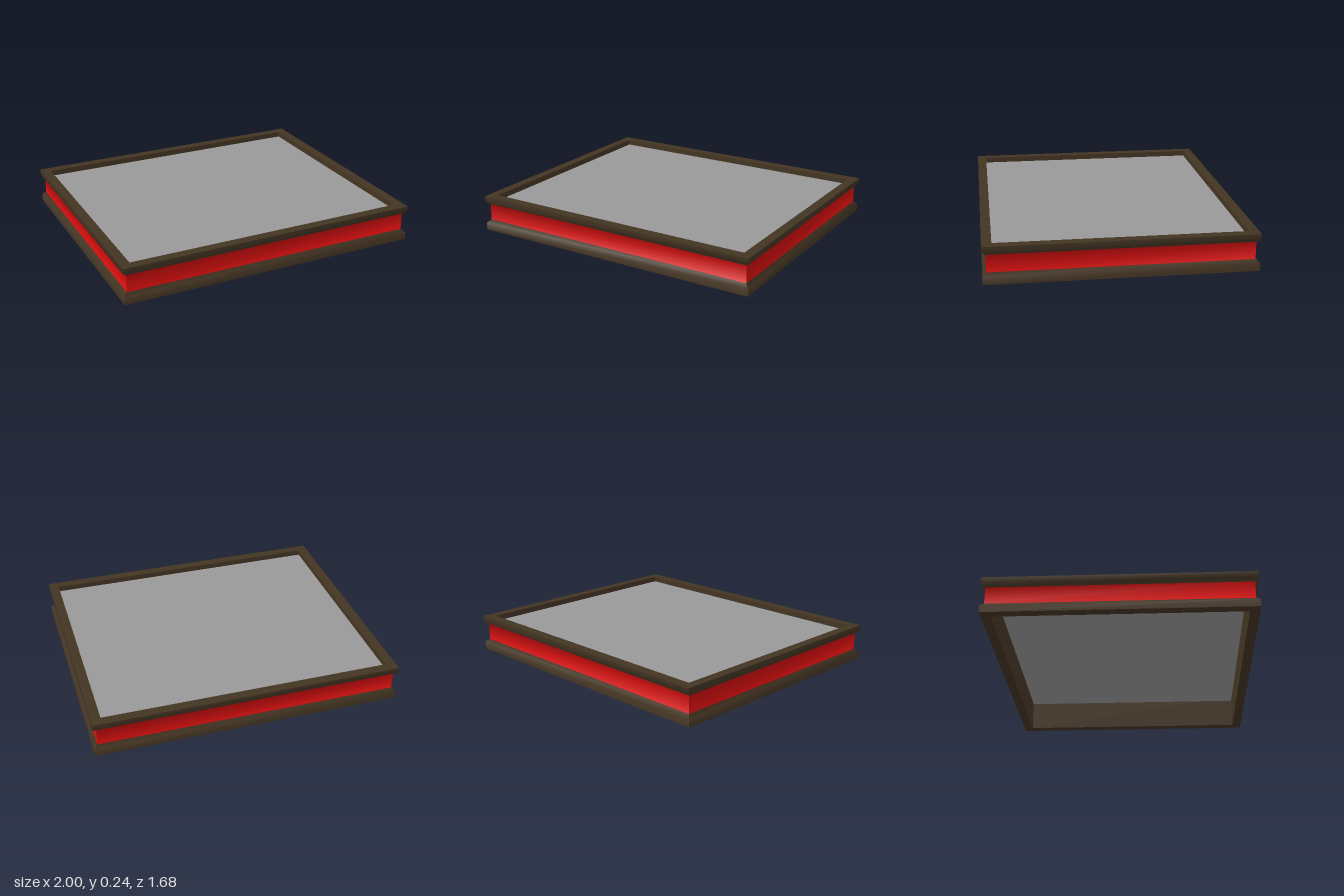
import * as THREE from 'three';
import { toCreasedNormals } from 'three/addons/utils/BufferGeometryUtils.js';

const HALF_X = 1, HALF_Z = 0.842;

// Frame cross-section as [inset from the outside, height], going up the outside and down the inside
const PROFILE = [
  [0, 0], [0, 0.05], [0.024, 0.07], [0.024, 0.182],
  [0, 0.202], [0, 0.24], [0.062, 0.24], [0.062, 0],
];
const RED_SEGMENT = 2;
const CORNERS = [[-1, 1], [1, 1], [1, -1], [-1, -1]];

function material(name, color) {
  const m = new THREE.MeshStandardMaterial({ color });
  m.name = name;
  return m;
}

// One mitred side of the frame, running from one corner to the next
function sideGeometry(side) {
  const point = (corner, [inset, y]) => {
    const [sx, sz] = CORNERS[corner % 4];
    return [sx * (HALF_X - inset), y, sz * (HALF_Z - inset)];
  };
  const positions = [];
  PROFILE.forEach((p, i) => {
    const q = PROFILE[(i + 1) % PROFILE.length];
    const a = point(side, p), b = point(side + 1, p);
    const c = point(side + 1, q), d = point(side, q);
    positions.push(...a, ...b, ...c, ...a, ...c, ...d);
  });
  const flat = new THREE.BufferGeometry();
  flat.setAttribute('position', new THREE.Float32BufferAttribute(positions, 3));
  // Soften the shallow bevels, keep the right-angled edges sharp
  const geometry = toCreasedNormals(flat, THREE.MathUtils.degToRad(60));
  geometry.clearGroups();
  PROFILE.forEach((_, i) => geometry.addGroup(i * 6, 6, i === RED_SEGMENT ? 1 : 0));
  return geometry;
}

export function createModel() {
  const model = new THREE.Group();
  model.name = 'framedPanel';
  const brown = material('dark brown', 0x443523);
  const red = material('red', 0xd60e0e);
  const grey = material('grey', 0x999999);
  grey.side = THREE.DoubleSide;

  // Brown frame with a red band set into its outside
  const names = ['frontFrame', 'leftFrame', 'backFrame', 'rightFrame'];
  names.forEach((name, side) => {
    const mesh = new THREE.Mesh(sideGeometry(side), [brown, red]);
    mesh.name = name;
    model.add(mesh);
  });

  // Thin panel sunk just below the top rim, open underneath
  const inset = PROFILE[6][0];
  const panel = new THREE.Mesh(
    new THREE.PlaneGeometry(2 * (HALF_X - inset), 2 * (HALF_Z - inset)).rotateX(-Math.PI / 2), grey);
  panel.name = 'panel';
  panel.position.y = 0.203;
  model.add(panel);

  return model;
}
